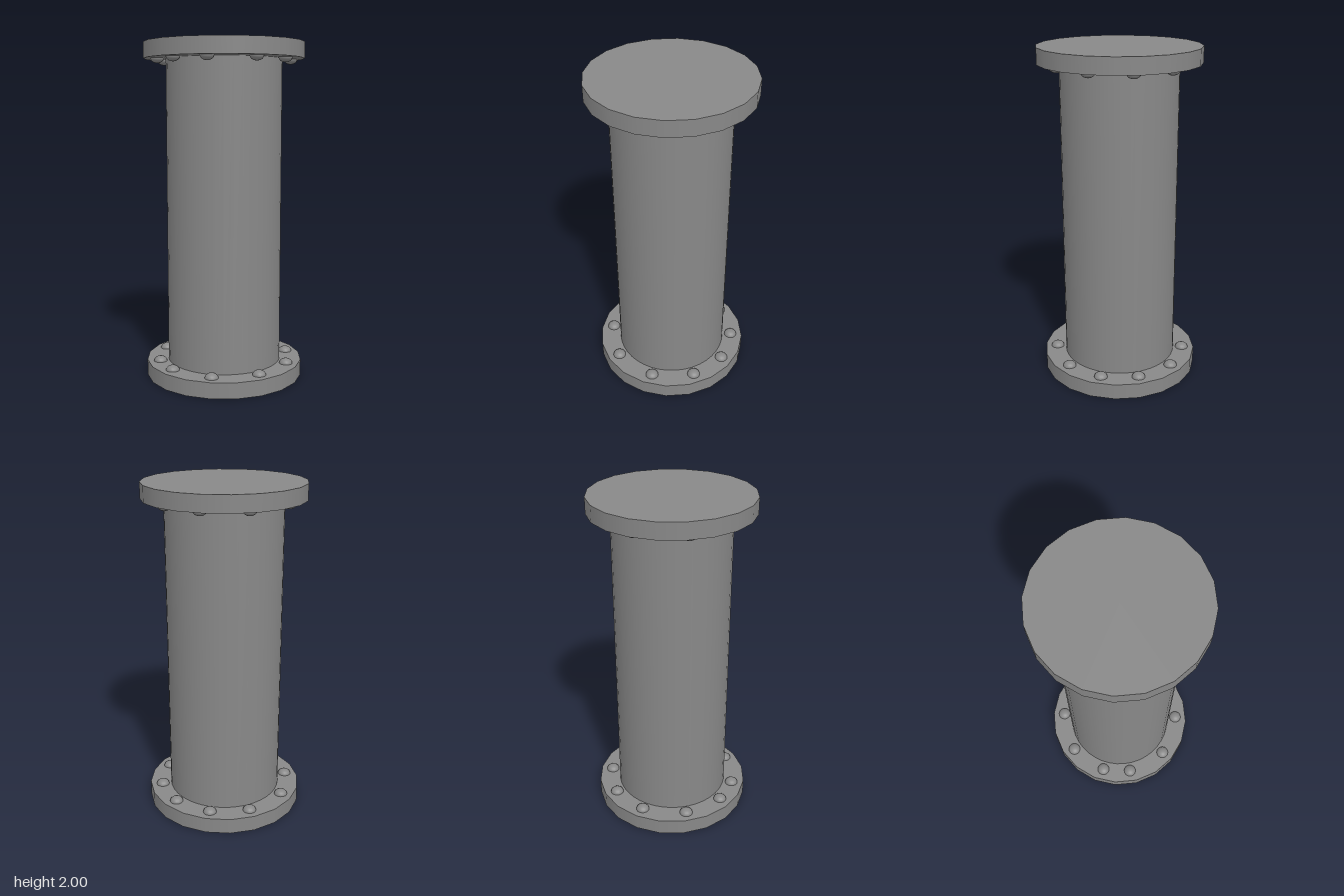
import * as THREE from 'three';

const material = new THREE.MeshStandardMaterial({ color: 0x888888 });

function part(name, geometry, y) {
  const mesh = new THREE.Mesh(geometry, material);
  mesh.name = name;
  mesh.position.y = y;
  return mesh;
}

export function createModel() {
  const model = new THREE.Group();
  model.name = 'flangedPipe';
  const thickness = 0.095;

  // Pipe body, ending inside the flanges
  model.add(part('pipe', new THREE.CylinderGeometry(0.343, 0.343, 1.86, 40, 1, true), 1));

  // Flanges: twenty-sided discs
  const disc = new THREE.CylinderGeometry(0.473, 0.473, thickness, 20);
  model.add(part('bottomFlange', disc, thickness / 2));
  model.add(part('topFlange', disc, 2 - thickness / 2));

  // Domed rivets, spaced a little unevenly (degrees from the front towards +x)
  const dome = new THREE.SphereGeometry(0.04, 16, 8, 0, Math.PI * 2, 0, Math.PI / 2);
  dome.scale(1, 0.75, 1);
  const addRivets = (name, y, angles, flip) => {
    const ring = new THREE.Group();
    ring.name = name;
    for (const degrees of angles) {
      const a = THREE.MathUtils.degToRad(degrees);
      const rivet = part('rivet', dome, y);
      rivet.position.x = 0.397 * Math.sin(a);
      rivet.position.z = 0.397 * Math.cos(a);
      if (flip) rivet.rotation.x = Math.PI;
      ring.add(rivet);
    }
    model.add(ring);
  };
  addRivets('bottomRivets', thickness, [4, 43, 77, 110, 145, 180, 220, 257, 284, 323], false);
  addRivets('topRivets', 2 - thickness, [0, 34, 69, 104, 139, 177, 220, 258, 288, 320], true);

  return model;
}
